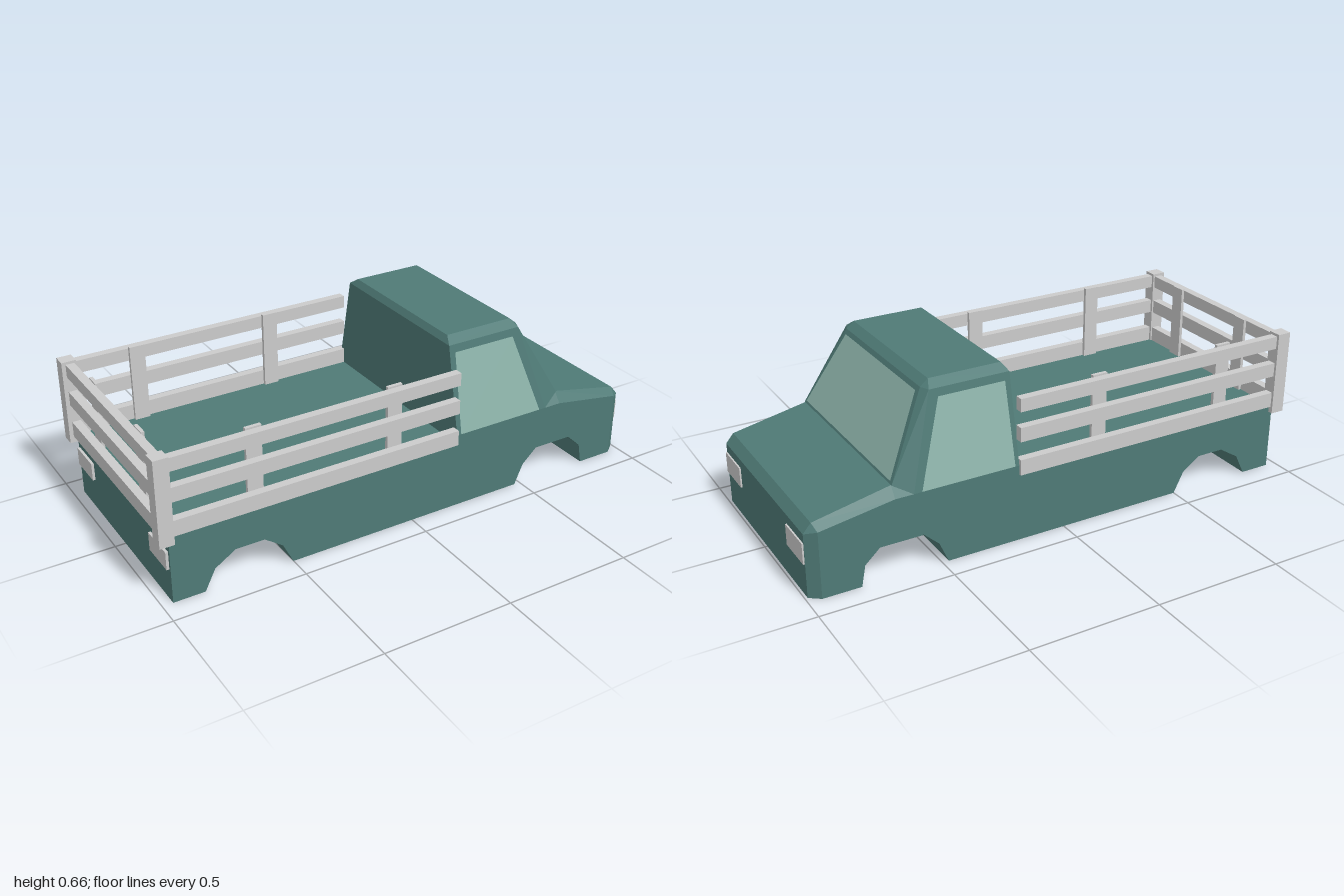
import * as THREE from 'three';
import { ConvexGeometry } from 'three/addons/geometries/ConvexGeometry.js';

const mat = (color, extra = {}) => new THREE.MeshStandardMaterial({ color, flatShading: true, ...extra });

export function createModel() {
  const truck = new THREE.Group();
  const paint = mat(0x4f7a76);
  const glass = mat(0x8eb4ab, { side: THREE.DoubleSide });
  const grey = mat(0xcccccc);

  const add = (name, geometry, material, parent = truck) => {
    const mesh = new THREE.Mesh(geometry, material);
    mesh.name = name;
    parent.add(mesh);
    return mesh;
  };
  // Box given by its minimum and maximum corners
  const box = (name, [x0, y0, z0], [x1, y1, z1], material, parent) =>
    add(name, new THREE.BoxGeometry(x1 - x0, y1 - y0, z1 - z0), material, parent)
      .position.set((x0 + x1) / 2, (y0 + y1) / 2, (z0 + z1) / 2);

  // Lower body: side profile, with or without wheel arches
  const rearArch = [[-0.84, 0], [-0.8, 0.08], [-0.72, 0.13], [-0.61, 0.13], [-0.54, 0.08], [-0.5, 0]];
  const frontArch = [[0.475, 0], [0.51, 0.08], [0.57, 0.135], [0.73, 0.135], [0.79, 0.08], [0.805, 0]];
  const upper = [[0.99, 0], [0.99, 0.245], [0.96, 0.28], [0.67, 0.34], [0.19, 0.34], [0.19, 0.265], [-0.96, 0.265]];
  const layer = (arches, z0, z1) => {
    const points = [[-0.96, 0], ...(arches ? [...rearArch, ...frontArch] : []), ...upper];
    const shape = new THREE.Shape(points.map(([x, y]) => new THREE.Vector2(x, y)));
    return new THREE.ExtrudeGeometry(shape, { depth: z1 - z0, bevelEnabled: false }).translate(0, 0, z0);
  };
  // Outermost skin: chamfer the nose corners and the hood edges
  const chamfer = (geometry) => {
    const p = geometry.attributes.position;
    for (let i = 0; i < p.count; i++) {
      if (Math.abs(p.getZ(i)) < 0.405) continue;
      const x = p.getX(i), y = p.getY(i);
      if (y > 0.27) p.setY(i, y - (x > 0.9 ? 0.025 : 0.04));
      if (x > 0.95) p.setX(i, 0.95);
    }
    geometry.computeVertexNormals();
    return geometry;
  };
  add('bodyCore', layer(false, -0.21, 0.21), paint);
  for (const [side, s] of [['left', 1], ['right', -1]]) {
    const span = (a, b) => (s > 0 ? [a, b] : [-b, -a]);
    add(side + 'Fender', layer(true, ...span(0.21, 0.38)), paint);
    add(side + 'BodySkin', chamfer(layer(true, ...span(0.38, 0.41))), paint);
  }

  // Cab with tapered sides, bevelled roof and sloping pillars
  const cabCorners = [
    [0.19, 0.3, 0.41], [0.6, 0.3, 0.41], [0.67, 0.34, 0.385],
    [0.19, 0.635, 0.34], [0.5, 0.635, 0.34], [0.515, 0.635, 0.305],
    [0.205, 0.66, 0.305], [0.485, 0.66, 0.305],
  ];
  add('cab', new ConvexGeometry(cabCorners.flatMap(([x, y, z]) =>
    [new THREE.Vector3(x, y, z), new THREE.Vector3(x, y, -z)])), paint);

  // Glass panes laid on the cab faces
  const pane = (name, corners) => {
    const g = new THREE.BufferGeometry();
    g.setAttribute('position', new THREE.Float32BufferAttribute(corners.flat(), 3));
    g.setIndex([0, 1, 2, 0, 2, 3]);
    g.computeVertexNormals();
    add(name, g, glass);
  };
  const screenX = (y) => 0.518 + (0.635 - y) * 0.525;
  pane('windshield', [[0.35, 0.37], [0.35, -0.37], [0.62, -0.29], [0.62, 0.29]]
    .map(([y, z]) => [screenX(y), y, z]));
  for (const [side, s] of [['left', 1], ['right', -1]]) {
    const corners = [[0.207, 0.302], [0.57, 0.302], [0.47, 0.607], [0.212, 0.607]]
      .map(([x, y]) => [x, y, s * (0.413 - (y - 0.3) * 0.209)]);
    pane(side + 'Window', s > 0 ? corners : corners.reverse());
  }

  // Stake fence around the bed
  const fence = new THREE.Group();
  fence.name = 'bedFence';
  truck.add(fence);
  const rails = [[0.265, 0.325], [0.395, 0.45], [0.51, 0.56]];
  for (const s of [1, -1]) {
    const side = s > 0 ? 'left' : 'right';
    const sideBox = (name, x0, x1, y0, y1, zIn, zOut) =>
      box(side + name, [x0, y0, Math.min(s * zIn, s * zOut)], [x1, y1, Math.max(s * zIn, s * zOut)], grey, fence);
    for (const [y0, y1] of rails) sideBox('Rail', -0.95, 0.19, y0, y1, 0.388, 0.42);
    sideBox('CornerPost', -1, -0.945, 0.24, 0.57, 0.378, 0.43);
    for (const x of s > 0 ? [-0.655, -0.1] : [-0.74, -0.185])
      sideBox('Stake', x, x + 0.06, 0.265, 0.567, 0.375, 0.389);
    sideBox('RearStake', -0.953, -0.94, 0.265, 0.565, 0.17, 0.23);
    // Lamps on the nose and tail
    sideBox('Headlight', 0.97, 0.996, 0.13, 0.21, 0.23, 0.378);
    sideBox('TailLight', -0.97, -0.95, 0.13, 0.2, 0.26, 0.4);
  }
  for (const [y0, y1] of rails) box('rearRail', [-0.985, y0, -0.385], [-0.952, y1, 0.385], grey, fence);

  return truck;
}
